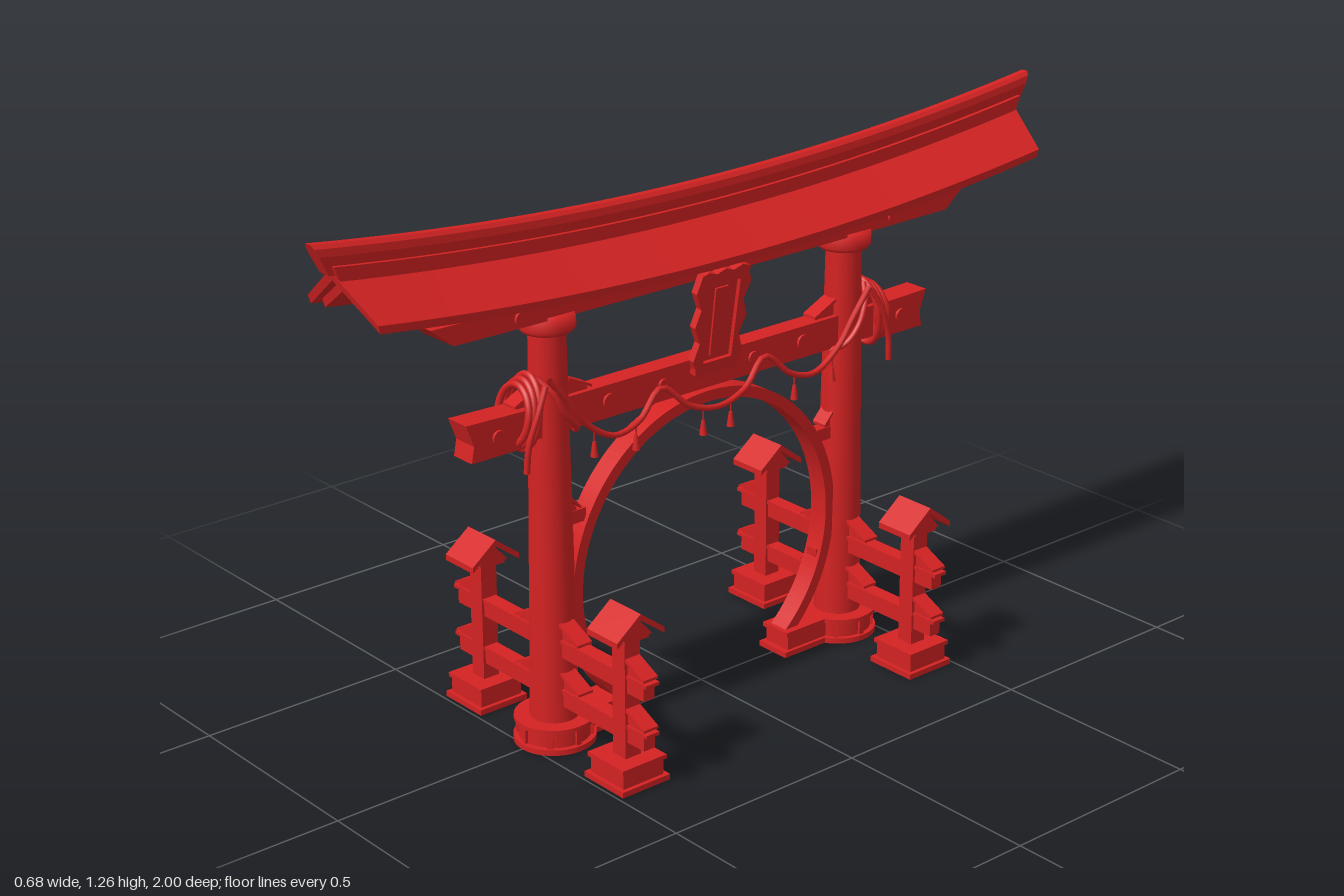
import * as THREE from 'three';

const red = new THREE.MeshStandardMaterial({ color: 0xd42222, side: THREE.DoubleSide });
const PILLAR_Z = 0.425;

function add(parent, name, geo, x = 0, y = 0, z = 0) {
  const m = new THREE.Mesh(geo, red);
  m.name = name;
  m.position.set(x, y, z);
  parent.add(m);
  return m;
}

// Box given by its centre in x and z and its bottom and top in y
const box = (parent, name, w, y0, y1, d, x = 0, z = 0) =>
  add(parent, name, new THREE.BoxGeometry(w, y1 - y0, d), x, (y0 + y1) / 2, z);

function prism(points, depth) {
  const shape = new THREE.Shape(points.map(p => new THREE.Vector2(...p)));
  return new THREE.ExtrudeGeometry(shape, { depth, bevelEnabled: false }).translate(0, 0, -depth / 2);
}

// Beam along z: a cross-section swept with slanted ends and an upward sweep
function beam(section, endLow, endHigh, sag) {
  const shape = new THREE.Shape(section.map(p => new THREE.Vector2(...p)));
  const geo = new THREE.ExtrudeGeometry(shape, { depth: 2, steps: 32, bevelEnabled: false });
  const ys = section.map(p => p[1]);
  const lo = Math.min(...ys), hi = Math.max(...ys), pos = geo.attributes.position;
  for (let i = 0; i < pos.count; i++) {
    const y = pos.getY(i);
    const z = (pos.getZ(i) - 1) * (endLow + (endHigh - endLow) * (y - lo) / (hi - lo));
    pos.setZ(i, z);
    pos.setY(i, y + sag * z * z);
  }
  geo.computeVertexNormals();
  return geo;
}

const rect = (w, y0, y1) => [[-w, y0], [w, y0], [w, y1], [-w, y1]];

// Wedge with a thin sloping cover, high at local x = 0 and falling towards +x
function wedge(parent, x, y, z, angle, w = 0.055) {
  const g = new THREE.Group();
  g.name = 'wedge';
  add(g, 'wedgeBody', prism([[0, 0], [w, 0], [w, 0.006], [0, 0.032]], 0.026));
  add(g, 'wedgeCover', prism([[0, 0.032], [w + 0.008, 0.004], [w + 0.008, 0.01], [0, 0.04]], 0.04));
  g.position.set(x, y, z);
  g.rotation.y = angle;
  parent.add(g);
}

function rope(parent, name, points, closed = false, r = 0.007) {
  const curve = new THREE.CatmullRomCurve3(points.map(p => new THREE.Vector3(...p)), closed);
  add(parent, name, new THREE.TubeGeometry(curve, 64, r, 8, closed));
}

function stepBase(parent, name, half, x, z) {
  box(parent, name, half * 2, 0, 0.013, half * 2, x, z);
  box(parent, name, half * 1.7, 0.013, 0.05, half * 1.7, x, z);
  box(parent, name, half * 1.85, 0.05, 0.06, half * 1.85, x, z);
}

function createRoof() {
  const roof = new THREE.Group();
  roof.name = 'roof';
  const k = 0.067;
  add(roof, 'roofSlab', beam([[0, 1.138], [0.122, 1.052], [0.12, 1.034], [0, 1.116], [-0.12, 1.034], [-0.122, 1.052]], 0.922, 0.955, k));
  add(roof, 'roofUnderlay', beam([[0, 1.12], [0.098, 1.053], [0.096, 1.03], [0, 1.095], [-0.096, 1.03], [-0.098, 1.053]], 0.905, 0.925, k));
  // Ridge with a rounded top and a wider foot
  add(roof, 'ridgeFoot', beam(rect(0.026, 1.115, 1.15), 0.945, 0.96, k));
  add(roof, 'ridge', beam([[-0.016, 1.13], [0.016, 1.13], [0.018, 1.17], [0.016, 1.186], [0.008, 1.194],
    [-0.008, 1.194], [-0.016, 1.186], [-0.018, 1.17]], 0.965, 1, k));
  // Stacked lintels below the roof
  add(roof, 'upperLintel', beam([[-0.05, 1.045], [0.05, 1.045], [0.05, 1.085], [0, 1.118], [-0.05, 1.085]], 0.87, 0.91, k));
  add(roof, 'middleLintel', beam(rect(0.068, 1.02, 1.052), 0.75, 0.83, k));
  add(roof, 'lowerLintel', beam(rect(0.05, 0.99, 1.035), 0.7, 0.755, 0.008));
  return roof;
}

function createFence() {
  const fence = new THREE.Group();
  fence.name = 'sideFence';
  for (const top of [0.14, 0.257]) {
    box(fence, 'rail', 0.65, top - 0.042, top - 0.006, 0.03);
    box(fence, 'railCover', 0.675, top - 0.008, top, 0.036);
    for (const s of [1, -1]) {
      const turn = s > 0 ? 0 : Math.PI;
      wedge(fence, s * 0.048, top, 0, turn);
      wedge(fence, s * 0.268, top, 0, turn);
    }
  }
  for (const s of [1, -1]) {
    const x = s * 0.25;
    stepBase(fence, 'postBase', 0.065, x, 0);
    box(fence, 'post', 0.042, 0.05, 0.36, 0.042, x);
    box(fence, 'postHead', 0.075, 0.338, 0.352, 0.065, x);
    // Small gabled cap, ridge along x
    const core = add(fence, 'capCore', prism([[-0.04, 0.345], [0.04, 0.345], [0, 0.39]], 0.078), x);
    const cap = add(fence, 'capRoof', prism([[-0.064, 0.342], [0, 0.39], [0.064, 0.342], [0.064, 0.356], [0, 0.405], [-0.064, 0.356]], 0.1), x);
    core.rotation.y = cap.rotation.y = Math.PI / 2;
  }
  return fence;
}

function createPillar() {
  const g = new THREE.Group();
  g.name = 'pillar';
  const lathe = pts => new THREE.LatheGeometry(pts.map(p => new THREE.Vector2(...p)), 32);
  add(g, 'shaft', new THREE.CylinderGeometry(0.04, 0.055, 0.95, 32), 0, 0.515, 0);
  for (const [r, y0, y1] of [[0.092, 0, 0.013], [0.08, 0.013, 0.05], [0.09, 0.05, 0.06]])
    add(g, 'pillarBase', new THREE.CylinderGeometry(r, r, y1 - y0, 32), 0, (y0 + y1) / 2, 0);
  for (let i = 0; i < 8; i++) {
    const rib = box(g, 'baseRib', 0.012, 0.013, 0.05, 0.012, 0.08 * Math.sin(i * Math.PI / 4), 0.08 * Math.cos(i * Math.PI / 4));
    rib.rotation.y = i * Math.PI / 4;
  }
  add(g, 'collar', lathe([[0.04, 0.95], [0.055, 0.953], [0.062, 0.962], [0.062, 0.998], [0, 0.998]]));
  return g;
}

function createPlaque() {
  const g = new THREE.Group();
  g.name = 'plaque';
  // Panel with a scalloped frame, leaning forward at the top
  const outline = [];
  for (let i = 0; i < 48; i++) {
    const side = Math.floor(i / 12), t = (i % 12) / 12 * 2 - 1;
    const wave = 0.004 * Math.cos(t * Math.PI * 3);
    const [u, v] = [[t, -1], [1, t], [-t, 1], [-1, -t]][side];
    outline.push([u * (0.066 + 0.006 * v) + (side % 2 ? u * wave / 0.5 : 0), v * 0.122 + (side % 2 ? 0 : v * wave)]);
  }
  const shape = new THREE.Shape(outline.map(p => new THREE.Vector2(...p)));
  shape.holes.push(new THREE.Path([[-0.04, -0.092], [-0.046, 0.092], [0.046, 0.092], [0.04, -0.092]].map(p => new THREE.Vector2(...p))));
  add(g, 'plaqueFrame', new THREE.ExtrudeGeometry(shape, { depth: 0.018, bevelEnabled: false }));
  add(g, 'plaquePanel', new THREE.BoxGeometry(0.1, 0.195, 0.008), 0, 0, 0.004);
  add(g, 'plaqueStrip', new THREE.BoxGeometry(0.036, 0.16, 0.006), 0, 0, 0.01);
  g.rotation.set(0.13, Math.PI / 2, 0, 'YXZ');
  g.position.set(0.048, 0.89, 0);
  return g;
}

function createRopes() {
  const g = new THREE.Group();
  g.name = 'ropes';
  // Swags hung across the front of the tie beam
  const half = [[0.06, 0.69, 0], [0.055, 0.71, 0.08], [0.042, 0.765, 0.15], [0.052, 0.71, 0.22], [0.054, 0.695, 0.29],
    [0.052, 0.74, 0.365], [0.052, 0.8, 0.41], [0.05, 0.86, 0.46]];
  rope(g, 'swag', [...half.slice(1).reverse().map(([x, y, z]) => [x, y, -z]), ...half]);
  for (const s of [1, -1]) {
    // Loops bound around the beam beside the pillar, and one slanting over it
    for (let j = 0; j < 3; j++) {
      const loop = [];
      for (let i = 0; i < 14; i++) {
        const a = i / 14 * Math.PI * 2;
        loop.push([0.052 * Math.cos(a), 0.785 + (0.08 - j * 0.008) * Math.sin(a), s * (0.49 + j * 0.014 - 0.012 * Math.sin(a))]);
      }
      rope(g, 'beamLoop', loop, true, 0.008);
    }
    rope(g, 'pillarBand', [[0.02, 0.86, s * 0.47], [0.048, 0.83, s * 0.45], [0.056, 0.78, s * 0.425], [0.05, 0.74, s * 0.39], [0.02, 0.72, s * 0.37]]);
    rope(g, 'looseEnd', [[0.05, 0.85, s * 0.47], [0.058, 0.79, s * 0.5], [0.055, 0.73, s * 0.52], [0.052, 0.67, s * 0.525]]);
    for (const [z, y] of [[0.04, 0.69], [0.23, 0.705], [0.345, 0.72]]) {
      add(g, 'tasselCord', new THREE.CylinderGeometry(0.002, 0.002, 0.03, 6), 0.053, y - 0.012, s * z);
      add(g, 'tassel', new THREE.CylinderGeometry(0.004, 0.009, 0.034, 8), 0.053, y - 0.042, s * z);
    }
  }
  return g;
}

export function createModel() {
  const model = new THREE.Group();
  model.name = 'gate';
  model.add(createRoof(), createPlaque(), createRopes());

  // Tie beam through the pillars, with larger flared ends
  box(model, 'tieBeam', 0.05, 0.725, 0.8, 1.1);
  for (const s of [1, -1]) {
    const end = prism([[0.5, 0.718], [0.65, 0.718], [0.643, 0.755], [0.662, 0.805], [0.5, 0.8]], 0.062);
    add(model, 'tieBeamEnd', end).rotation.y = -s * Math.PI / 2;
    for (const x of [0.025, -0.025]) for (const [z, y, r] of [[0.28, 0.763, 0.018], [0.13, 0.763, 0.014], [0.58, 0.76, 0.016], [0.53, 1.013, 0.016]]) {
      const out = z > 0.5 ? (y > 1 ? 2 : 1.24) : 1;
      add(model, 'boss', new THREE.CylinderGeometry(r, r, 0.012, 16), x * out, y, s * z).rotation.z = Math.PI / 2;
    }
  }

  // Round arch between the pillars
  const ring = new THREE.Shape();
  const end = Math.asin(0.285 / 0.372);
  ring.absarc(0, 0.33, 0.386, -end, Math.PI + end, false);
  ring.absarc(0, 0.33, 0.36, Math.PI + end, -end, true);
  const arch = new THREE.ExtrudeGeometry(ring, { depth: 0.05, bevelEnabled: false, curveSegments: 64 });
  add(model, 'arch', arch.translate(0, 0, -0.025)).rotation.y = Math.PI / 2;

  for (const s of [1, -1]) {
    const z = s * PILLAR_Z, inward = s * Math.PI / 2;
    const pillar = createPillar(), fence = createFence();
    pillar.position.z = fence.position.z = z;
    model.add(pillar, fence);
    // Stepped foot of the arch
    box(model, 'archFoot', 0.09, 0, 0.013, 0.17, 0, s * 0.305);
    box(model, 'archFoot', 0.074, 0.013, 0.05, 0.15, 0, s * 0.31);
    box(model, 'archFoot', 0.084, 0.05, 0.06, 0.16, 0, s * 0.307);
    // Struts tying the arch to the pillar, and wedges over them
    for (const y of [0.2, 0.5]) {
      box(model, 'archStrut', 0.03, y, y + 0.03, 0.07, 0, s * 0.375);
      wedge(model, 0, y + 0.03, s * 0.385, inward, 0.02);
    }
    wedge(model, 0, 0.8, s * 0.385, inward);
    wedge(model, 0, 0.8, s * 0.465, -inward);
  }
  return model;
}
